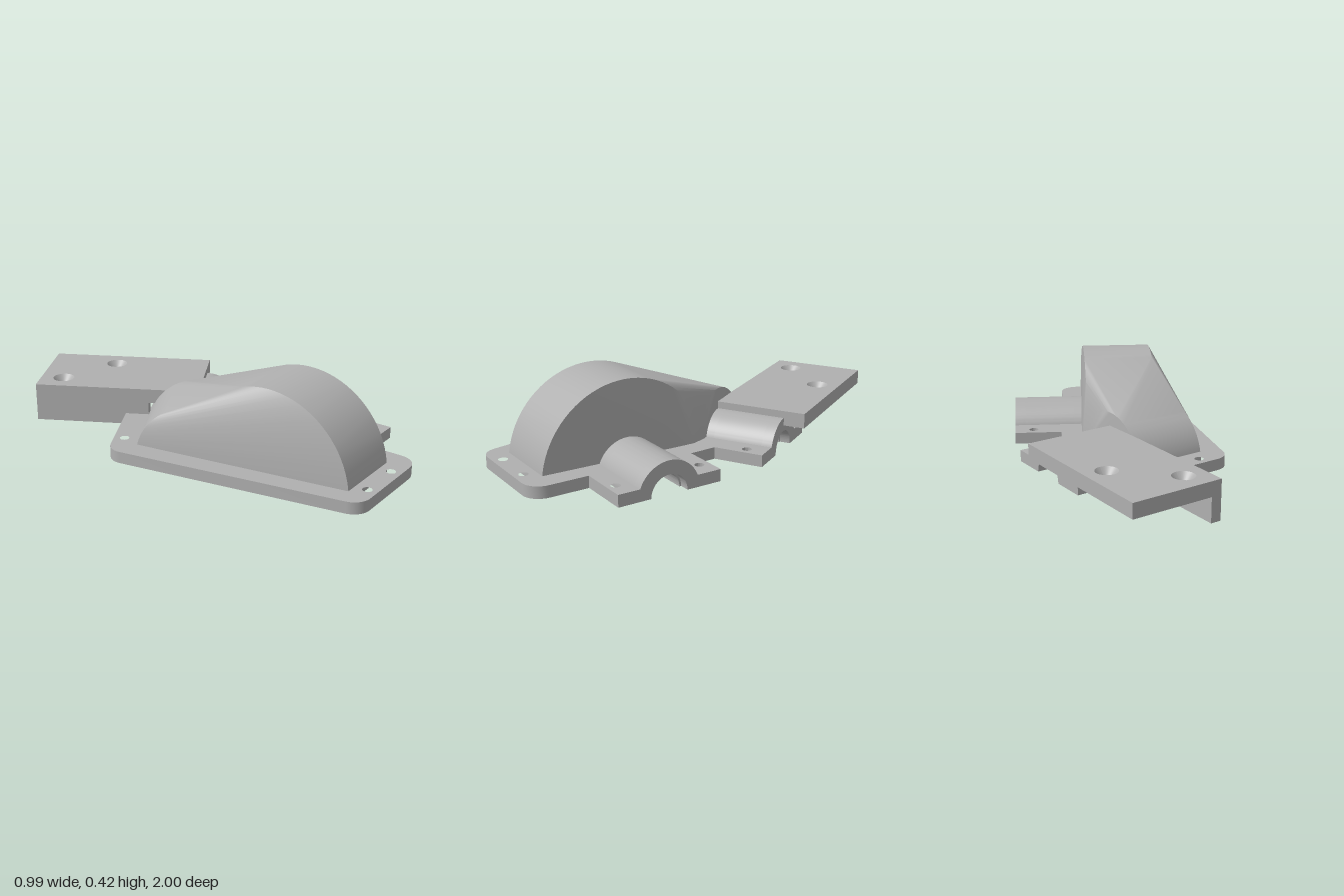
import * as THREE from 'three';
import { toCreasedNormals } from 'three/addons/utils/BufferGeometryUtils.js';
import { ConvexGeometry } from 'three/addons/geometries/ConvexGeometry.js';

const TILT = Math.PI / 6;      // angle of the small shaft
const BIG_Z = 0.478;           // large shaft line, along x
const SMALL_V = -0.0485;       // small shaft line, in the tilted frame
const FLANGE_H = 0.056;

// tilted frame (u along the small shaft, v across) to [x, z]
const P = (u, v) => [
  u * Math.cos(TILT) + v * Math.sin(TILT),
  -u * Math.sin(TILT) + v * Math.cos(TILT),
];

// closed outline from [x, z, cornerRadius] points
function outline(points) {
  const shape = new THREE.Shape();
  const pts = points.map(([x, z, r = 0]) => ({ p: new THREE.Vector2(x, -z), r }));
  pts.forEach(({ p, r }, i) => {
    const prev = pts[(i + pts.length - 1) % pts.length].p;
    const next = pts[(i + 1) % pts.length].p;
    const a = prev.clone().sub(p).normalize();
    const b = next.clone().sub(p).normalize();
    const t = r / Math.tan(Math.acos(a.dot(b)) / 2);
    const start = p.clone().addScaledVector(a, t);
    if (i === 0) shape.moveTo(start.x, start.y);
    else shape.lineTo(start.x, start.y);
    if (r > 0) {
      const c = p.clone().addScaledVector(a.clone().add(b).normalize(), Math.hypot(t, r));
      const end = p.clone().addScaledVector(b, t);
      const a0 = Math.atan2(start.y - c.y, start.x - c.x);
      const a1 = Math.atan2(end.y - c.y, end.x - c.x);
      const sweep = Math.atan2(Math.sin(a1 - a0), Math.cos(a1 - a0));
      for (let k = 1; k <= 10; k++) {
        const q = a0 + (sweep * k) / 10;
        shape.lineTo(c.x + r * Math.cos(q), c.y + r * Math.sin(q));
      }
    }
  });
  shape.closePath();
  return shape;
}

function addHoles(shape, holes, radius) {
  for (const [x, z] of holes) shape.holes.push(new THREE.Path().absarc(x, -z, radius, 0, Math.PI * 2, true));
  return shape;
}

// flat slab lying on y = base
function slab(shape, height, base = 0) {
  const g = new THREE.ExtrudeGeometry(shape, { depth: height, bevelEnabled: false, curveSegments: 16 });
  g.rotateX(-Math.PI / 2).translate(0, base, 0);
  return toCreasedNormals(g, 0.6);
}

// half ring (or half disc when inner is 0) extruded along x
function halfRing(inner, outer, x0, x1, z) {
  const s = new THREE.Shape();
  s.absarc(0, 0, outer, 0, Math.PI, false);
  if (inner > 0) s.absarc(0, 0, inner, Math.PI, 0, true);
  s.closePath();
  const g = new THREE.ExtrudeGeometry(s, { depth: x1 - x0, bevelEnabled: false, curveSegments: 32 });
  g.rotateY(Math.PI / 2).translate(x0, 0, z);
  return toCreasedNormals(g, 0.6);
}

// open-bottomed hull around the two pulley half cylinders, inset by the wall thickness
function coverShell(inset, inward) {
  const pts = [];
  const n = 40;
  for (let i = 0; i <= n; i++) {
    const c = Math.cos((Math.PI * i) / n), s = Math.sin((Math.PI * i) / n);
    const R = 0.417 - inset, r = 0.25 - inset;
    for (const x of [-0.2 + inset, 0.14 - inset]) pts.push(new THREE.Vector3(x, R * s, BIG_Z + R * c));
    for (const u of [-0.276 + inset, 0.075 - inset]) {
      const [x, z] = P(u, SMALL_V + r * c);
      pts.push(new THREE.Vector3(x, r * s, z));
    }
  }
  const src = new ConvexGeometry(pts).getAttribute('position');
  const out = [];
  const t = [0, 1, 2].map(() => new THREE.Vector3());
  for (let i = 0; i < src.count; i += 3) {
    t.forEach((v, k) => v.fromBufferAttribute(src, i + k));
    if (t.every((v) => v.y < 1e-4)) continue;
    for (const k of inward ? [0, 2, 1] : [0, 1, 2]) out.push(t[k].x, t[k].y, t[k].z);
  }
  const g = new THREE.BufferGeometry();
  g.setAttribute('position', new THREE.Float32BufferAttribute(out, 3));
  return toCreasedNormals(g, 0.5);
}

export function createModel() {
  const model = new THREE.Group();
  model.name = 'pulleyCover';
  const grey = new THREE.MeshStandardMaterial({ color: 0xb0b0b0 });
  grey.name = 'plainGrey';
  const tilted = new THREE.Group();
  tilted.name = 'tiltedParts';
  tilted.rotation.y = TILT;
  model.add(tilted);

  const add = (parent, name, geometry) => {
    const m = new THREE.Mesh(geometry, grey);
    m.name = name;
    parent.add(m);
    return m;
  };

  // mounting flange, split by the two shaft channels
  const mainFlange = outline([
    [0.495, 0.568], [0.495, 0.725], [0.245, 0.725], [0.245, 0.995, 0.085],
    [-0.271, 0.995, 0.085], [-0.506, -0.187, 0.085],
    P(0.168, -0.415).concat(0.05), P(0.168, -0.3035), P(0.418, -0.3035),
    P(0.418, -0.1385), P(0.035, -0.1385), P(0.035, -0.2585), P(-0.236, -0.2585),
    [-0.16, 0.855], [0.1, 0.855], [0.104, 0.568],
  ]);
  addHoles(mainFlange, [
    [0.402, 0.683], [0.074, 0.947], [-0.138, 0.947], P(-0.211, -0.364), P(0.325, -0.2585),
  ], 0.022);
  add(model, 'mainFlange', slab(mainFlange, FLANGE_H));

  const sideFlange = outline([
    [0.495, 0.388], [0.495, 0.217], [0.265, 0.217], [0.26, 0.085],
    P(0.418, 0.2065), P(0.418, 0.0415), P(0.035, 0.0415), [0.111, 0.122], [0.107, 0.388],
  ]);
  addHoles(sideFlange, [[0.402, 0.265], P(0.325, 0.1615)], 0.022);
  add(model, 'sideFlange', slab(sideFlange, FLANGE_H));

  // hollow cover
  add(model, 'coverOutside', coverShell(0, false));
  add(model, 'coverInside', coverShell(0.04, true));

  // half-round shaft housings with stepped bores, and the bosses facing them
  const shafts = [
    { parent: model, name: 'largeShaft', start: 0.106, end: 0.495, z: BIG_Z, boss: [-0.25, -0.14] },
    { parent: tilted, name: 'smallShaft', start: 0.036, end: 0.418, z: SMALL_V, boss: [-0.245, -0.16] },
  ];
  for (const { parent, name, start, end, z, boss } of shafts) {
    const steps = [start, start + 0.09, end - 0.05, end];
    [0.09, 0.081, 0.09].forEach((bore, i) =>
      add(parent, name + 'Housing', halfRing(bore, 0.153, steps[i], steps[i + 1], z)));
    add(parent, name + 'Boss', halfRing(0, 0.09, boss[0], boss[1], z));
  }

  // raised mounting plate with two countersunk holes
  const plateEdge = [[0.074, -0.863], [0.519, -0.863], [0.519, -0.052], [0.074, -0.052]];
  const screws = [[0.182, -0.749], [0.412, -0.524]];
  const sink = 0.03, top = 0.187, bottom = 0.117;
  add(tilted, 'plateLower', slab(addHoles(outline(plateEdge), screws, 0.027), top - sink - bottom, bottom));
  add(tilted, 'plateUpper', slab(addHoles(outline(plateEdge), screws, 0.052), sink, top - sink));
  for (const [u, v] of screws) {
    const cone = new THREE.CylinderGeometry(0.052, 0.027, sink, 32, 1, true);
    cone.scale(-1, 1, 1); // mirrored so the inside of the cone faces out
    cone.translate(u, top - sink / 2, v);
    cone.computeVertexNormals();
    add(tilted, 'countersink', cone);
  }

  // leg under the plate's long edge
  const leg = new THREE.BoxGeometry(0.05, bottom, 0.563);
  leg.translate(0.099, bottom / 2, -0.5815);
  add(tilted, 'plateLeg', leg);

  return model;
}
